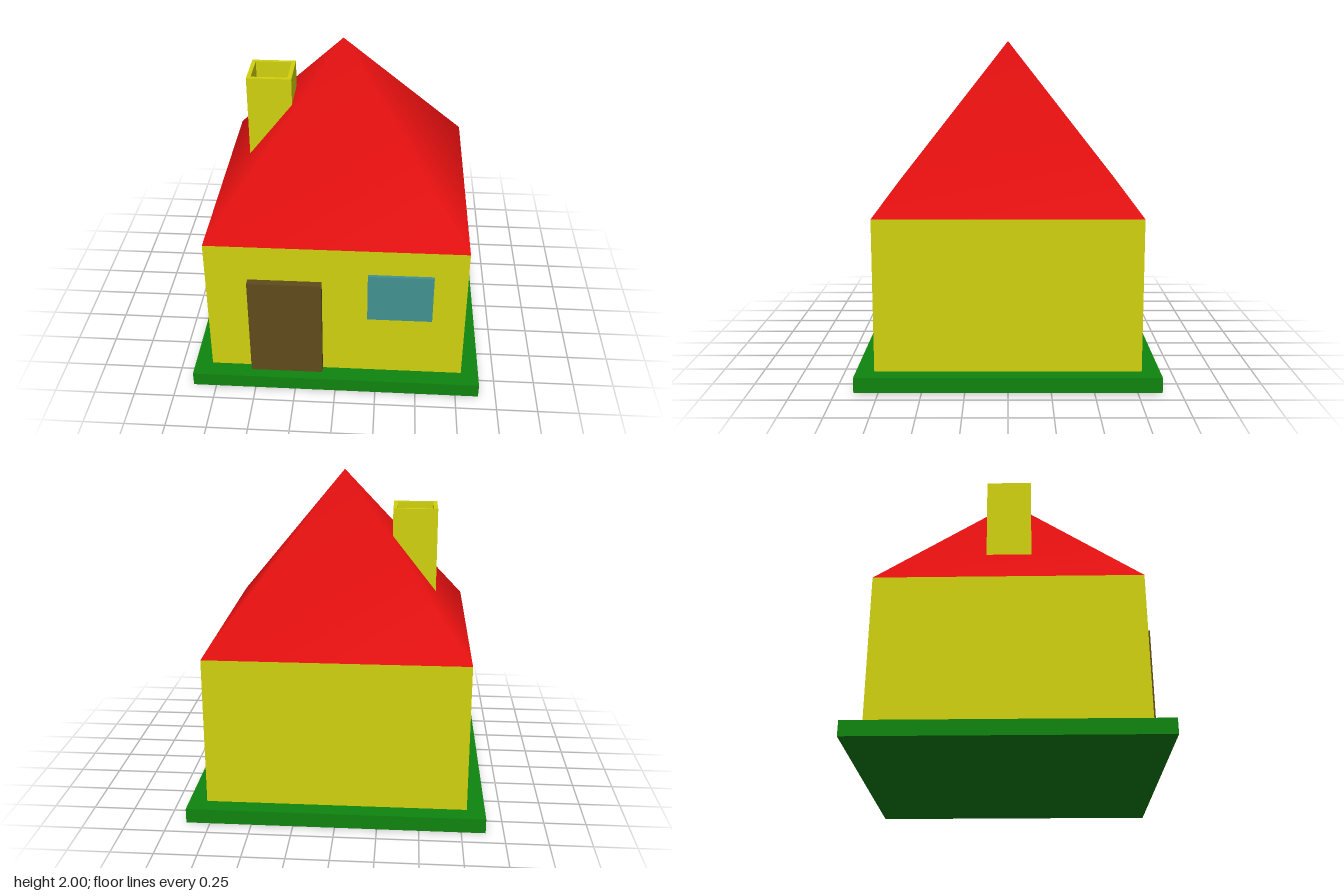
import * as THREE from 'three';
import { mergeVertices } from 'three/addons/utils/BufferGeometryUtils.js';

const paint = (color) => new THREE.MeshStandardMaterial({ color });

export function createModel() {
  const house = new THREE.Group();
  house.name = 'house';
  const yellow = paint(0xd2d20f), red = paint(0xe61010), green = paint(0x0f850f);
  const brown = paint(0x604b1c), blue = paint(0x419292);

  const add = (name, geometry, material, parent = house) => {
    const mesh = new THREE.Mesh(geometry, material);
    mesh.name = name;
    parent.add(mesh);
    return mesh;
  };
  // box given by its lower and upper limits on each axis
  const box = (name, [x0, x1], [y0, y1], [z0, z1], material) =>
    add(name, new THREE.BoxGeometry(x1 - x0, y1 - y0, z1 - z0), material)
      .position.set((x0 + x1) / 2, (y0 + y1) / 2, (z0 + z1) / 2);

  const half = 0.785;
  box('lawn', [-0.893, 0.893], [0, 0.09], [-0.893, 0.893], green);
  box('walls', [-half, half], [0.09, 1], [-half, half], yellow);
  box('door', [-0.53, -0.083], [0.09, 0.765], [0.74, 0.83], brown);
  box('window', [0.192, 0.585], [0.51, 0.832], [0.74, 0.805], blue);

  // pyramid roof, shaded smoothly across its hips
  let roof = new THREE.ConeGeometry(half * Math.SQRT2, 1, 4, 1, true);
  roof.rotateY(Math.PI / 4);
  roof.deleteAttribute('uv');
  roof.deleteAttribute('normal');
  roof = mergeVertices(roof, 1e-4);
  roof.computeVertexNormals();
  red.side = THREE.DoubleSide;
  add('roof', roof, red).position.y = 1.5;

  // chimney: a square tube with a floor part way down
  const square = (Path, r) => new Path([[-r, -r], [r, -r], [r, r], [-r, r]].map(([x, y]) => new THREE.Vector2(x, y)));
  const outline = square(THREE.Shape, 0.137);
  outline.holes.push(square(THREE.Path, 0.112));
  const tube = new THREE.ExtrudeGeometry(outline, { depth: 0.68, bevelEnabled: false });
  tube.rotateX(-Math.PI / 2);
  const chimney = new THREE.Group();
  chimney.name = 'chimney';
  chimney.position.set(-0.443, 1.1, 0);
  add('chimneyWalls', tube, yellow, chimney);
  add('chimneyFloor', new THREE.BoxGeometry(0.226, 0.35, 0.226), yellow, chimney).position.y = 0.175;
  house.add(chimney);

  return house;
}
